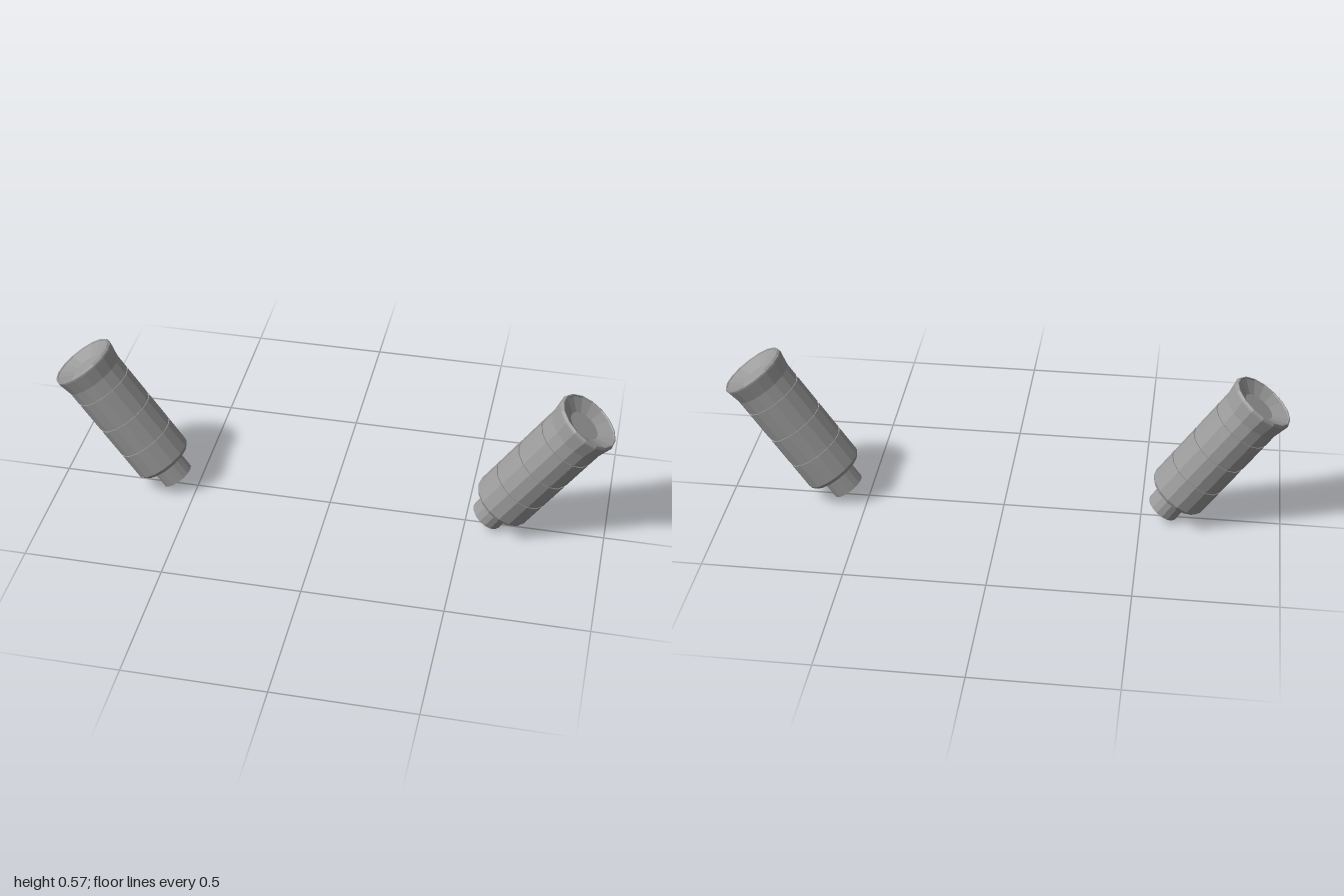
import * as THREE from 'three';

const SIDES = 16;
const TILT = THREE.MathUtils.degToRad(35);

export function createModel() {
  const grey = new THREE.MeshStandardMaterial({ color: 0x9a9a9a });
  grey.name = 'grey metal';
  grey.flatShading = true;

  // Turned part from [radius, height] pairs, listed from bottom to top on the outside
  const turned = (name, profile) => {
    const points = profile.map(([r, h]) => new THREE.Vector2(r, h));
    const mesh = new THREE.Mesh(new THREE.LatheGeometry(points, SIDES), grey);
    mesh.name = name;
    return mesh;
  };

  // Barrel with a chamfered foot and three narrow grooves
  const R = 0.11, depth = 0.004;
  const barrel = [[0, 0.08], [0.1, 0.08], [R, 0.094]];
  for (const [low, high] of [[0.199, 0.206], [0.321, 0.332], [0.45, 0.457]]) {
    barrel.push([R, low], [R - depth, low], [R - depth, high], [R, high]);
  }
  barrel.push([R, 0.508]);

  const createCanister = (name, side) => {
    const canister = new THREE.Group();
    canister.name = name;
    canister.add(
      turned('neck', [[0, 0], [0.061, 0], [0.061, 0.085]]),
      turned('barrel', barrel),
      // Flared rim with a small bevelled lip
      turned('flaredRim', [[0.106, 0.503], [R, 0.508], [0.12, 0.562], [0.12, 0.568],
        [0.115, 0.576], [0.111, 0.576], [0.109, 0.572]]),
      // Shallow dish with a flat floor
      turned('dish', [[0.109, 0.572], [0.059, 0.547], [0, 0.547]])
    );
    canister.position.set(side * 0.577, 0.035, 0);
    canister.rotation.z = -side * TILT;
    return canister;
  };

  const model = new THREE.Group();
  model.name = 'canisterPair';
  model.add(createCanister('leftCanister', 1), createCanister('rightCanister', -1));
  return model;
}
